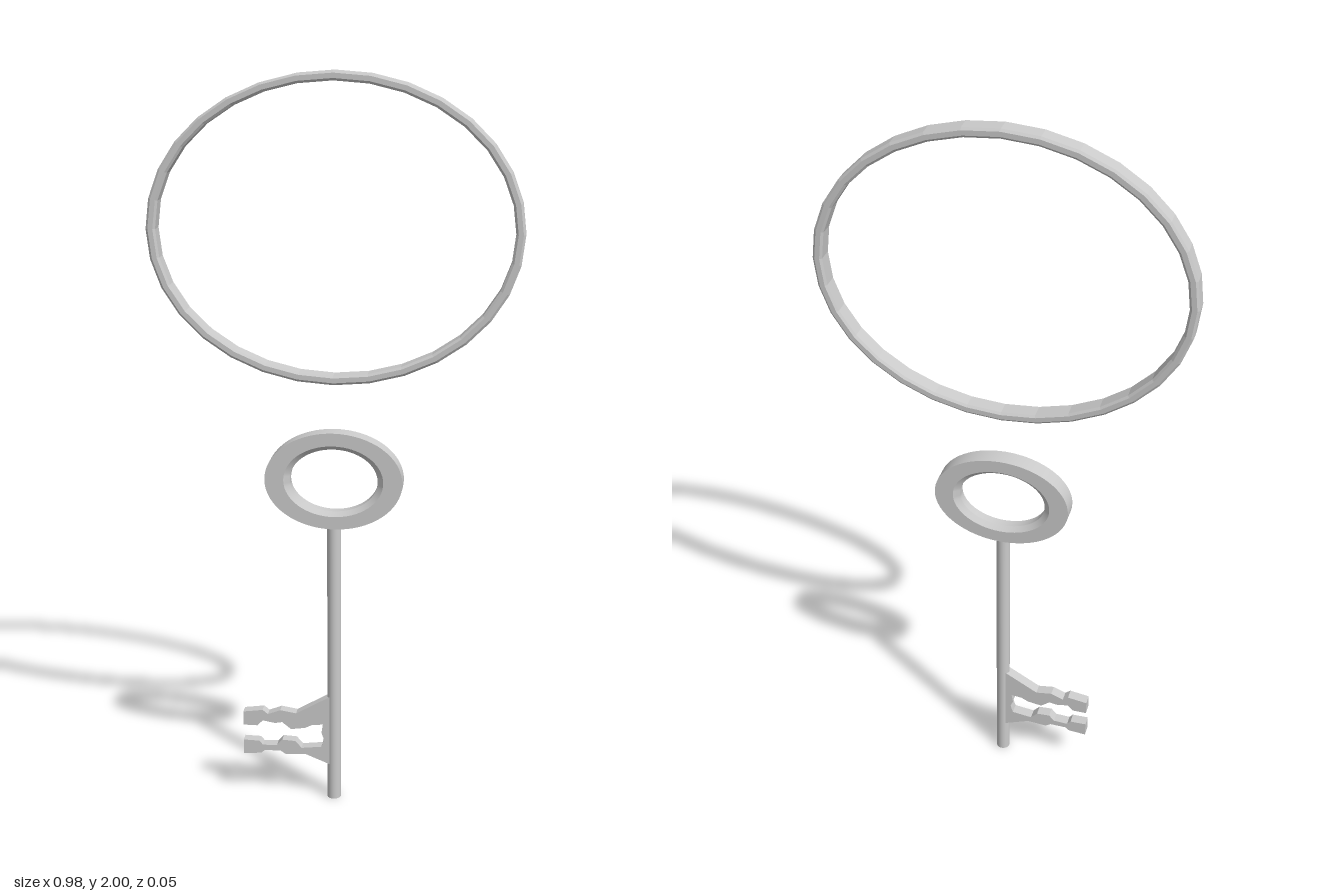
import * as THREE from 'three';
import { toCreasedNormals } from 'three/addons/utils/BufferGeometryUtils.js';

const grey = new THREE.MeshStandardMaterial({ color: 0xcccccc });
const faceted = new THREE.MeshStandardMaterial({ color: 0xcccccc, flatShading: true });

function part(name, geometry, material = grey) {
  const mesh = new THREE.Mesh(geometry, material);
  mesh.name = name;
  return mesh;
}

// Sweeps a closed section of [inset, z] points around an ellipse in the xy plane.
function ellipseBand(rx, ry, section, segments) {
  const positions = [], index = [], n = section.length;
  for (let i = 0; i < segments; i++) {
    const a = (i / segments) * Math.PI * 2;
    for (const [inset, z] of section) {
      positions.push((rx - inset) * Math.cos(a), (ry - inset) * Math.sin(a), z);
    }
  }
  for (let i = 0; i < segments; i++) {
    const p = i * n, q = ((i + 1) % segments) * n;
    for (let j = 0; j < n; j++) {
      const k = (j + 1) % n;
      index.push(p + j, q + j, q + k, p + j, q + k, p + k);
    }
  }
  const g = new THREE.BufferGeometry();
  g.setAttribute('position', new THREE.Float32BufferAttribute(positions, 3));
  g.setIndex(index);
  g.computeVertexNormals();
  return g;
}

export function createModel() {
  const key = new THREE.Group();
  key.name = 'keyAndRing';

  // Large carrying ring: chamfered band with visible facets
  const ringSection = [[0, -0.02], [0, 0.02], [0.006, 0.025], [0.019, 0.025],
    [0.025, 0.02], [0.025, -0.02], [0.019, -0.025], [0.006, -0.025]];
  const ring = part('carryingRing', ellipseBand(0.488, 0.4, ringSection, 32), faceted);
  ring.position.y = 1.6;
  key.add(ring);

  // Oval bow: flat faces, bevelled around the hole
  const bowSection = [[0, -0.025], [0, 0.025], [0.05, 0.025], [0.066, 0.012],
    [0.066, -0.012], [0.05, -0.025]];
  const bowGeometry = ellipseBand(0.185, 0.133, bowSection, 64);
  // The rim of the hole is a little closer to the outside at top and bottom.
  const p = bowGeometry.attributes.position;
  for (let i = 0; i < p.count; i++) {
    const j = i % 6;
    if (j < 2) continue;
    const a = (Math.floor(i / 6) / 64) * Math.PI * 2;
    const inner = j === 3 || j === 4;
    p.setXY(i, Math.cos(a) * (inner ? 0.118 : 0.134), Math.sin(a) * (inner ? 0.086 : 0.098));
  }
  const bow = part('bow', toCreasedNormals(bowGeometry, 0.5));
  bow.position.y = 0.937;
  key.add(bow);

  // Round shaft
  const shaft = part('shaft', new THREE.CylinderGeometry(0.019, 0.019, 0.81, 20));
  shaft.position.y = 0.405;
  key.add(shaft);

  // Bit: two notched prongs growing out of a flared web
  const outline = [[0, 0.315], [-0.015, 0.307], [-0.105, 0.255], [-0.15, 0.262],
    [-0.185, 0.248], [-0.2, 0.26], [-0.255, 0.252], [-0.255, 0.212],
    [-0.215, 0.212], [-0.2, 0.228], [-0.165, 0.222], [-0.145, 0.226],
    [-0.12, 0.206], [-0.08, 0.212], [-0.06, 0.222], [-0.03, 0.225], [-0.034, 0.2],
    [-0.027, 0.18], [-0.034, 0.157], [-0.09, 0.15], [-0.108, 0.17], [-0.145, 0.172],
    [-0.16, 0.155], [-0.2, 0.153], [-0.21, 0.165], [-0.255, 0.166], [-0.255, 0.124],
    [-0.205, 0.128], [-0.195, 0.137], [-0.15, 0.138], [-0.135, 0.128],
    [-0.08, 0.132], [-0.015, 0.106], [0, 0.1]];
  const shape = new THREE.Shape(outline.map(([x, y]) => new THREE.Vector2(x, y)));
  const bitGeometry = new THREE.ExtrudeGeometry(shape, { depth: 0.03, bevelEnabled: false });
  bitGeometry.translate(0, 0, -0.015);
  key.add(part('bit', bitGeometry));

  return key;
}
